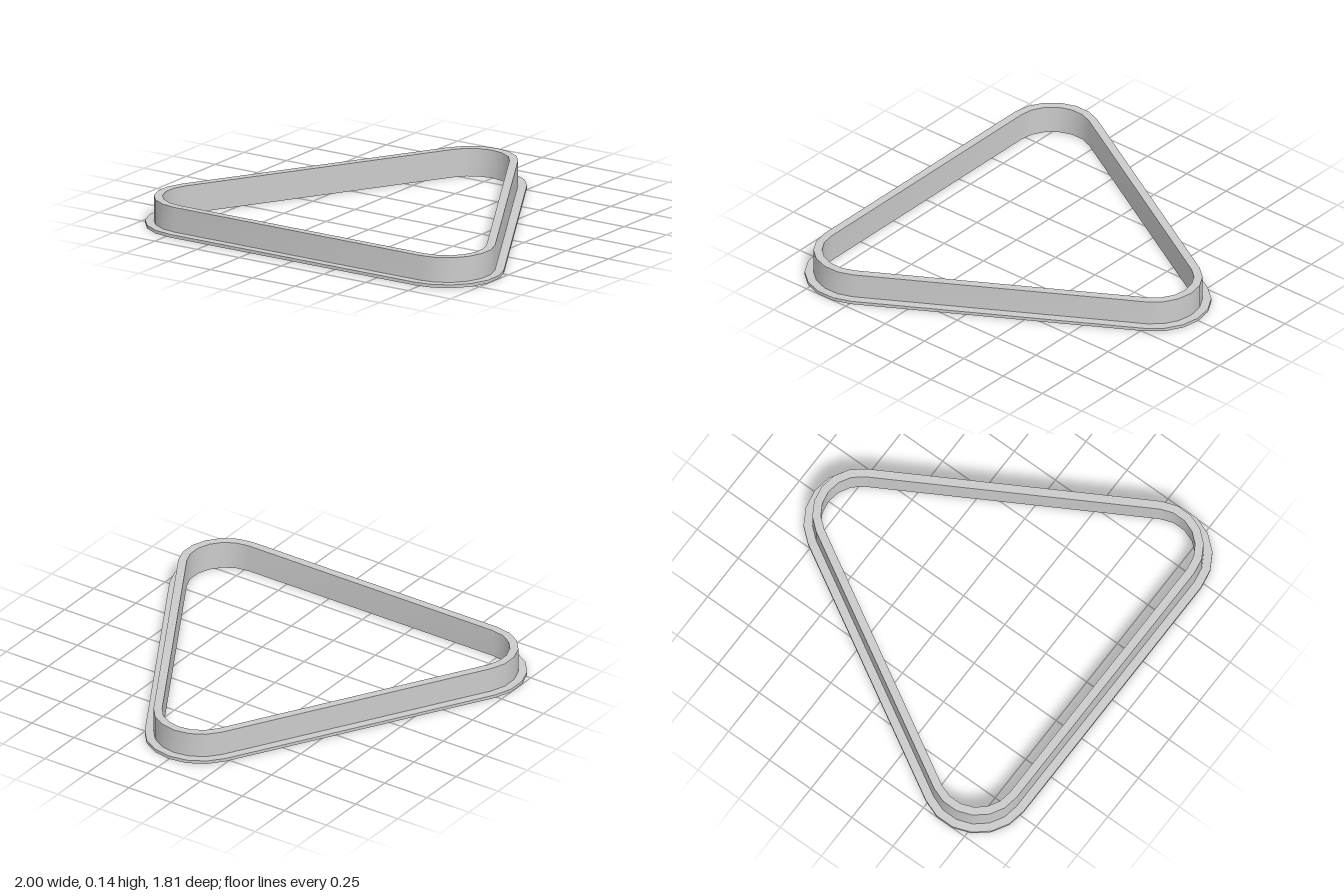
import * as THREE from 'three';
import { toCreasedNormals } from 'three/addons/utils/BufferGeometryUtils.js';

const STEPS = 6;                  // segments per rounded corner
const HALF = 0.726;               // half the distance between corner centres
const DEPTH = HALF * Math.sqrt(3) / 2;
const CORNERS = [[HALF, DEPTH], [0, -DEPTH], [-HALF, DEPTH]];

// Corner radii and heights
const INNER = 0.193, WALL = 0.235, RIM = 0.278;
const FLANGE_TOP = 0.016, TOP = 0.142;

// Points of a rounded triangle, counterclockwise seen from above
function triangleLoop(radius, y) {
  const points = [];
  CORNERS.forEach(([cx, cz], corner) => {
    for (let k = 0; k <= STEPS; k++) {
      const a = (corner + k / STEPS) * Math.PI * 2 / 3;
      points.push([cx + radius * Math.sin(a), y, cz + radius * Math.cos(a)]);
    }
  });
  return points;
}

// Sweeps a [radius, height] profile around the triangle
function sweep(name, profile, material) {
  const loops = profile.map(([r, y]) => triangleLoop(r, y));
  const count = loops[0].length;
  const index = [];
  for (let j = 0; j < loops.length - 1; j++) {
    for (let i = 0; i < count; i++) {
      const next = (i + 1) % count;
      const a = j * count + i, b = j * count + next;
      index.push(a, b, b + count, a, b + count, a + count);
    }
  }
  const geometry = new THREE.BufferGeometry();
  geometry.setAttribute('position', new THREE.Float32BufferAttribute(loops.flat(2), 3));
  geometry.setIndex(index);
  const mesh = new THREE.Mesh(toCreasedNormals(geometry, Math.PI / 5), material);
  mesh.name = name;
  return mesh;
}

export function createModel() {
  const group = new THREE.Group();
  group.name = 'triangularFrame';
  const material = new THREE.MeshStandardMaterial({ color: 0xcccccc });

  // Thin flange: underside, outer edge and exposed ledge
  group.add(sweep('baseFlange', [
    [INNER, 0], [RIM, 0], [RIM, FLANGE_TOP], [WALL, FLANGE_TOP],
  ], material));

  // Upright wall: outside, top edge and inside down to the ground
  group.add(sweep('wall', [
    [WALL, FLANGE_TOP], [WALL, TOP], [INNER, TOP], [INNER, 0],
  ], material));

  return group;
}
